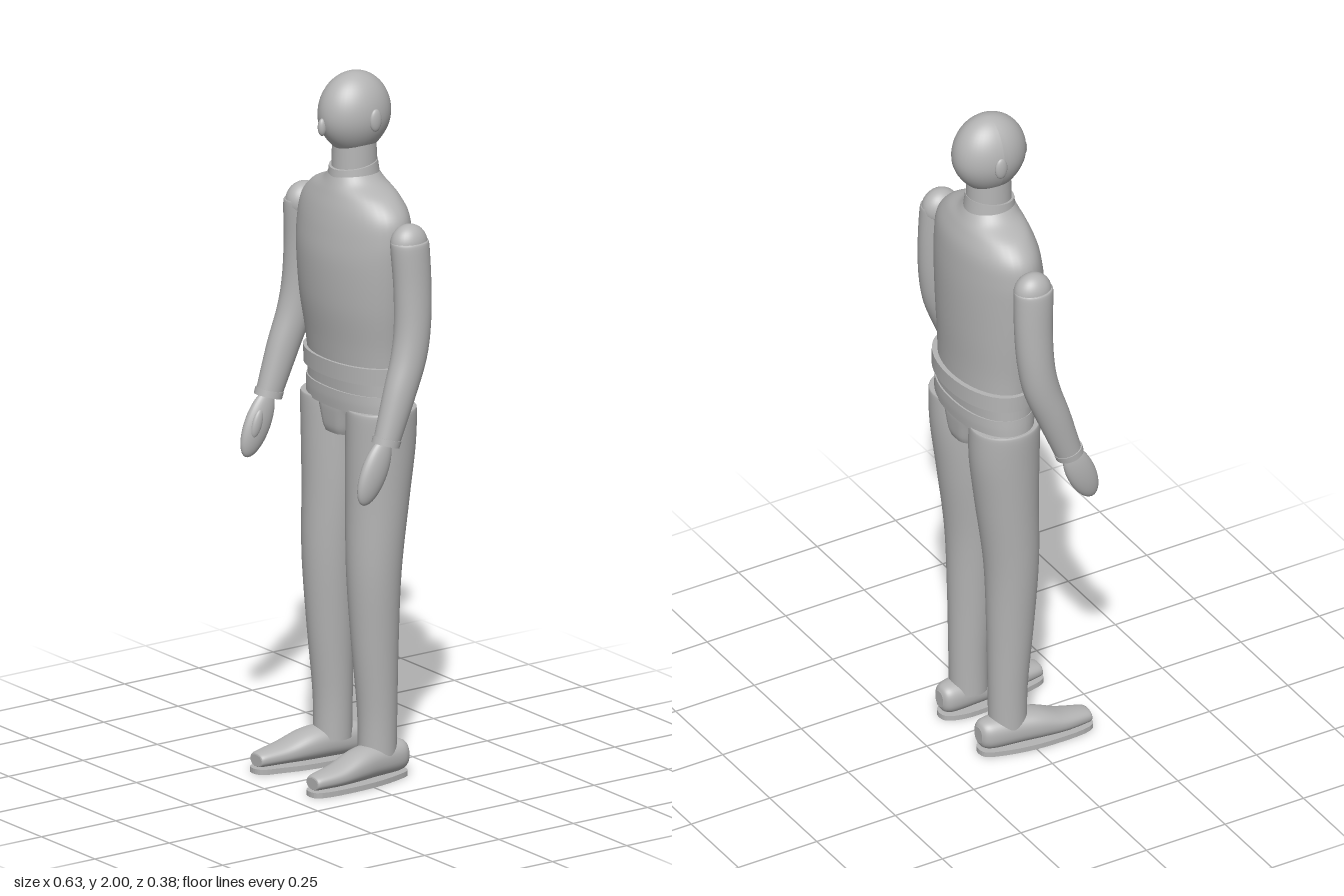
import * as THREE from 'three';

const SIDES = 40;
const grey = new THREE.MeshStandardMaterial({ color: 0xb4b4b4 });
grey.name = 'plain grey';

// Smooth body through oval sections, listed top to bottom: [y, cx, cz, rx, rz, tilt]
function loft(keys, power = 2, steps = 6) {
  const rows = [];
  const n = keys.length;
  const at = (i, k) => keys[Math.min(Math.max(i, 0), n - 1)][k] || 0;
  for (let i = 0; i < n - 1; i++) {
    for (let s = 0; s < steps; s++) {
      const t = s / steps;
      rows.push([0, 1, 2, 3, 4, 5].map((k) => {
        const a = at(i - 1, k), b = at(i, k), c = at(i + 1, k), d = at(i + 2, k);
        return b + 0.5 * t * (c - a + t * (2 * a - 5 * b + 4 * c - d + t * (3 * (b - c) + d - a)));
      }));
    }
  }
  rows.push([0, 1, 2, 3, 4, 5].map((k) => at(n - 1, k)));

  const pos = [], index = [];
  const bend = (v) => Math.sign(v) * Math.abs(v) ** (2 / power);
  const addRing = ([y, cx, cz, rx, rz, tilt]) => {
    for (let j = 0; j < SIDES; j++) {
      const a = (j / SIDES) * Math.PI * 2;
      const z = rz * bend(Math.sin(a));
      pos.push(cx + rx * bend(Math.cos(a)), y + tilt * z, cz + z);
    }
  };
  rows.forEach(addRing);
  for (let i = 0; i < rows.length - 1; i++) {
    for (let j = 0; j < SIDES; j++) {
      const a = i * SIDES + j, b = i * SIDES + ((j + 1) % SIDES);
      index.push(a, b, b + SIDES, a, b + SIDES, a + SIDES);
    }
  }
  // End caps with their own vertices, so the rims stay sharp
  for (const top of [true, false]) {
    const row = top ? rows[0] : rows[rows.length - 1];
    const start = pos.length / 3;
    addRing(row);
    pos.push(row[1], row[0], row[2]);
    for (let j = 0; j < SIDES; j++) {
      const a = start + j, b = start + ((j + 1) % SIDES);
      index.push(start + SIDES, top ? b : a, top ? a : b);
    }
  }
  const g = new THREE.BufferGeometry();
  g.setAttribute('position', new THREE.Float32BufferAttribute(pos, 3));
  g.setIndex(index);
  g.computeVertexNormals();
  return g;
}

function part(parent, name, geometry) {
  const mesh = new THREE.Mesh(geometry, grey);
  mesh.name = name;
  parent.add(mesh);
  return mesh;
}

function ellipsoid(parent, name, [x, y, z], [rx, ry, rz], tiltX = 0) {
  const mesh = part(parent, name, new THREE.SphereGeometry(1, 32, 24).scale(rx, ry, rz));
  mesh.position.set(x, y, z);
  mesh.rotation.x = tiltX;
  return mesh;
}

function addHead(model) {
  // Egg-shaped skull, narrower towards the chin
  const skull = new THREE.SphereGeometry(1, 40, 32);
  const p = skull.attributes.position;
  for (let i = 0; i < p.count; i++) {
    const y = p.getY(i);
    const k = y < 0 ? 1 - 0.17 * y * y : 1;
    p.setXYZ(i, p.getX(i) * 0.086 * k, y * 0.118, p.getZ(i) * 0.108 * k);
  }
  skull.computeVertexNormals();
  part(model, 'head', skull).position.set(0, 1.882, -0.053);
  ellipsoid(model, 'nose', [0, 1.858, 0.055], [0.011, 0.025, 0.013]);
  for (const s of [1, -1]) ellipsoid(model, 'ear', [s * 0.085, 1.877, -0.064], [0.01, 0.032, 0.019]);
  part(model, 'neck', loft([[1.81, 0, -0.053, 0.058, 0.062], [1.7, 0, -0.053, 0.061, 0.065]]));
  part(model, 'collar', loft([[1.742, 0, -0.05, 0.065, 0.068, -0.15], [1.69, 0, -0.05, 0.072, 0.075, -0.15]]));
}

function addBody(model) {
  part(model, 'torso', loft([
    [1.72, 0, -0.051, 0.066, 0.068], [1.695, 0, -0.053, 0.095, 0.08],
    [1.665, 0, -0.055, 0.16, 0.093], [1.62, 0, -0.056, 0.203, 0.108],
    [1.56, 0, -0.054, 0.213, 0.118], [1.48, 0, -0.052, 0.21, 0.124],
    [1.36, 0, -0.054, 0.2, 0.121], [1.25, 0, -0.06, 0.187, 0.111], [1.18, 0, -0.064, 0.182, 0.106]]));
  part(model, 'belt', loft([[1.195, 0, -0.066, 0.195, 0.117], [1.148, 0, -0.067, 0.195, 0.117]], 2.1));
  part(model, 'waistband', loft([[1.15, 0, -0.067, 0.182, 0.103], [1.11, 0, -0.067, 0.184, 0.101]], 2.2));
  part(model, 'hips', loft([
    [1.112, 0, -0.067, 0.185, 0.106], [1.085, 0, -0.067, 0.188, 0.106], [1.058, 0, -0.067, 0.19, 0.104]], 2.2));
  part(model, 'crotch', loft([[1.065, 0, -0.067, 0.086, 0.103], [1.045, 0, -0.067, 0.075, 0.103],
    [1, 0, -0.067, 0.06, 0.099], [0.98, 0, -0.067, 0.052, 0.093]], 3.5));
}

function addArm(model, s) {
  const arm = new THREE.Group();
  arm.name = s > 0 ? 'leftArm' : 'rightArm';
  model.add(arm);
  ellipsoid(arm, 'shoulder', [s * 0.245, 1.566, -0.06], [0.045, 0.056, 0.055]);
  part(arm, 'sleeve', loft([
    [1.575, s * 0.248, -0.06, 0.043, 0.053], [1.56, s * 0.25, -0.06, 0.047, 0.057],
    [1.45, s * 0.256, -0.064, 0.047, 0.055], [1.34, s * 0.262, -0.06, 0.047, 0.053],
    [1.25, s * 0.267, -0.044, 0.045, 0.051, 0.15], [1.15, s * 0.272, -0.008, 0.041, 0.045, 0.3],
    [1.028, s * 0.275, 0.035, 0.034, 0.037, 0.3]]));
  part(arm, 'cuff', loft([[1.034, s * 0.275, 0.034, 0.037, 0.04, 0.3], [1.016, s * 0.275, 0.04, 0.037, 0.039, 0.3]]));
  ellipsoid(arm, 'hand', [s * 0.273, 0.945, 0.076], [0.023, 0.098, 0.042], -0.42);
  ellipsoid(arm, 'thumb', [s * 0.256, 0.95, 0.09], [0.01, 0.04, 0.016], -0.3);
}

function addLeg(model, s) {
  const leg = new THREE.Group();
  leg.name = s > 0 ? 'leftLeg' : 'rightLeg';
  model.add(leg);
  part(leg, 'trouserLeg', loft([
    [1.064, s * 0.107, -0.067, 0.085, 0.095], [1.052, s * 0.107, -0.067, 0.092, 0.1],
    [0.95, s * 0.104, -0.066, 0.091, 0.099], [0.8, s * 0.102, -0.057, 0.086, 0.089],
    [0.6, s * 0.104, -0.044, 0.075, 0.077], [0.4, s * 0.104, -0.047, 0.063, 0.067],
    [0.2, s * 0.104, -0.055, 0.054, 0.056], [0.07, s * 0.104, -0.055, 0.052, 0.054]]));

  // Shoe lofted from toe to heel, then laid flat
  part(leg, 'shoe', loft([
    [0.183, s * 0.131, -0.035, 0.025, 0.016], [0.172, s * 0.131, -0.038, 0.032, 0.021],
    [0.1, s * 0.128, -0.045, 0.045, 0.029], [0.03, s * 0.12, -0.057, 0.051, 0.042],
    [-0.03, s * 0.113, -0.061, 0.049, 0.046], [-0.11, s * 0.106, -0.06, 0.043, 0.045],
    [-0.138, s * 0.104, -0.06, 0.034, 0.038], [-0.148, s * 0.104, -0.06, 0.02, 0.024]], 2.3).rotateX(Math.PI / 2));

  // Thin flat sole
  const outline = [[0.108, 0.186], [0.156, 0.186], [0.171, 0.04], [0.15, -0.09], [0.125, -0.143],
    [0.085, -0.143], [0.062, -0.09], [0.067, 0.04], [0.085, 0.12]].map(([x, z]) => new THREE.Vector3(s * x, -z, 0));
  const curve = new THREE.CatmullRomCurve3(outline, true, 'centripetal');
  const shape = new THREE.Shape(curve.getPoints(54).map((v) => new THREE.Vector2(v.x, v.y)));
  part(leg, 'sole', new THREE.ExtrudeGeometry(shape, { depth: 0.015, bevelEnabled: false }).rotateX(-Math.PI / 2));
}

export function createModel() {
  const model = new THREE.Group();
  model.name = 'figure';
  addHead(model);
  addBody(model);
  for (const s of [1, -1]) {
    addArm(model, s);
    addLeg(model, s);
  }
  return model;
}
